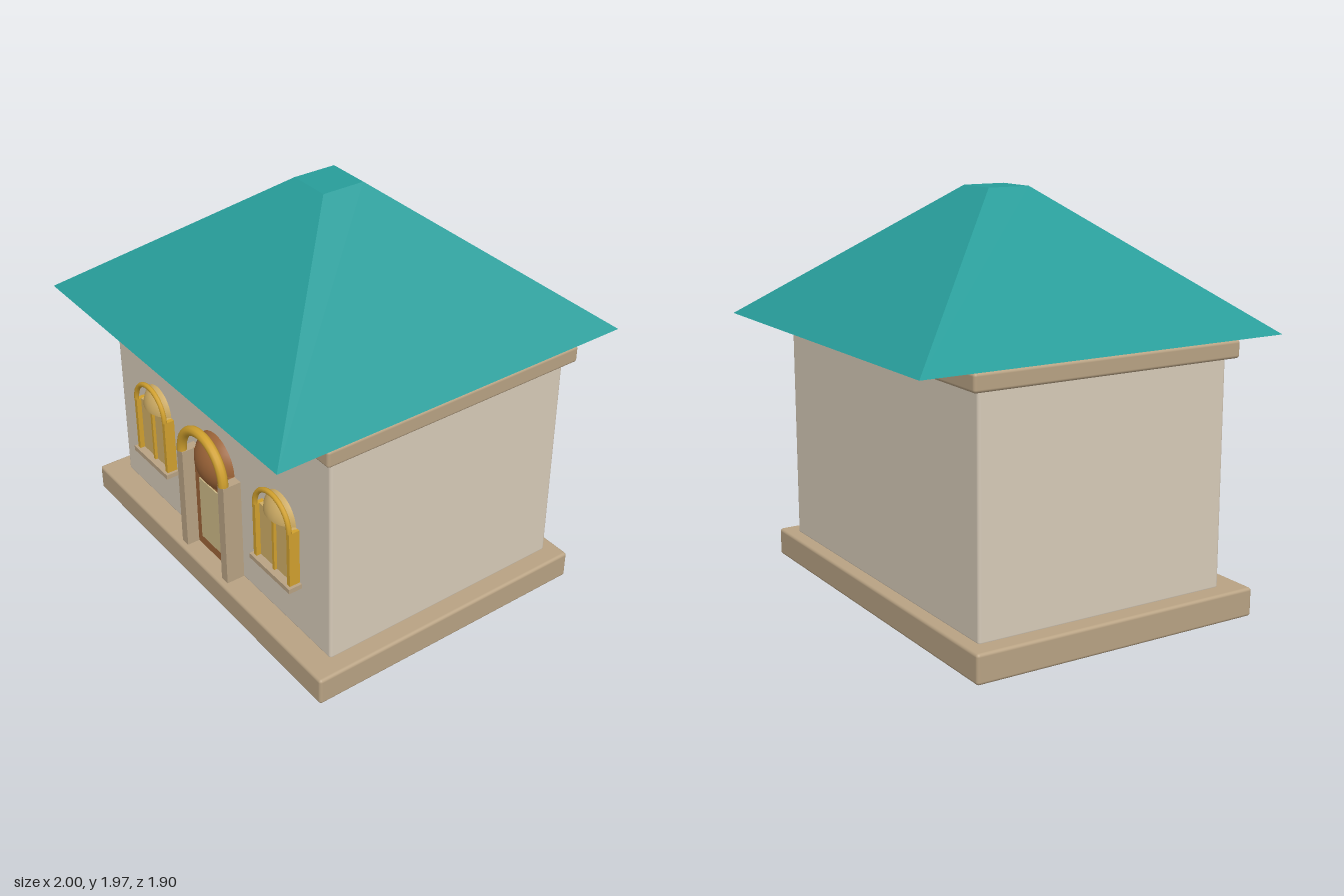
import * as THREE from 'three';
import { RoundedBoxGeometry } from 'three/addons/geometries/RoundedBoxGeometry.js';

const mat = (name, color, extra = {}) => {
  const m = new THREE.MeshStandardMaterial({ color, ...extra });
  m.name = name;
  return m;
};

export function createModel() {
  const plaster = mat('plaster', 0xd6cab8);
  const stone = mat('stone', 0xb8a283);
  const teal = mat('teal roof', 0x279c99);
  const gold = mat('gold', 0xd0a02e);
  const wood = mat('wood', 0x9c6438);
  const glass = mat('amber glass', 0xd0ae66, { side: THREE.DoubleSide });
  const cream = mat('cream panel', 0xcdb987);

  const add = (parent, name, geo, material, x = 0, y = 0, z = 0) => {
    const mesh = new THREE.Mesh(geo, material);
    mesh.name = name;
    mesh.position.set(x, y, z);
    parent.add(mesh);
    return mesh;
  };
  // Box given by its limits on each axis
  const box = (parent, name, material, [x0, x1], [y0, y1], [z0, z1], round = 0) => {
    const size = [x1 - x0, y1 - y0, z1 - z0];
    const geo = round ? new RoundedBoxGeometry(...size, 3, round) : new THREE.BoxGeometry(...size);
    return add(parent, name, geo, material, (x0 + x1) / 2, (y0 + y1) / 2, (z0 + z1) / 2);
  };

  const house = new THREE.Group();
  house.name = 'house';

  // Main masses
  box(house, 'plinth', stone, [-1, 1], [0, 0.14], [-0.72, 0.78], 0.015);
  box(house, 'walls', plaster, [-0.905, 0.905], [0.13, 1.25], [-0.655, 0.655], 0.015);
  box(house, 'cornice', stone, [-0.95, 0.95], [1.23, 1.315], [-0.7, 0.7], 0.015);

  // Truncated pyramid roof: a box with its top corners pulled in
  const roofGeo = new THREE.BoxGeometry(1.9, 0.655, 1.9).toNonIndexed();
  const p = roofGeo.attributes.position;
  for (let i = 0; i < p.count; i++) {
    if (p.getY(i) > 0) p.setXYZ(i, Math.sign(p.getX(i)) * 0.11, p.getY(i), Math.sign(p.getZ(i)) * 0.11);
  }
  roofGeo.computeVertexNormals();
  add(house, 'roof', roofGeo, teal, 0, 1.6425, 0);

  // Door with bulging round head, posts and arch
  const door = new THREE.Group();
  door.name = 'door';
  house.add(door);
  box(door, 'doorLeaf', wood, [-0.157, 0.157], [0.14, 0.7], [0.64, 0.685]);
  box(door, 'doorPanel', cream, [-0.11, 0.11], [0.2, 0.555], [0.684, 0.692]);
  add(door, 'doorHead', new THREE.SphereGeometry(0.175, 32, 20), wood, 0, 0.7, 0.575);
  for (const s of [-1, 1]) {
    box(door, 'doorPost', stone, [s * 0.18 - 0.025, s * 0.18 + 0.025], [0.14, 0.7], [0.65, 0.75]);
  }
  add(door, 'doorArch', new THREE.TorusGeometry(0.182, 0.025, 10, 24, Math.PI), gold, 0, 0.7, 0.735);

  // Arched windows either side of the door
  for (const side of [-1, 1]) {
    const win = new THREE.Group();
    win.name = side > 0 ? 'leftWindow' : 'rightWindow';
    win.position.x = side * 0.53;
    house.add(win);
    box(win, 'windowPane', glass, [-0.13, 0.13], [0.42, 0.72], [0.645, 0.685]);
    add(win, 'windowHead', new THREE.SphereGeometry(0.145, 24, 12, 0, Math.PI * 2, 0, Math.PI / 2),
      glass, 0, 0.72, 0.575);
    for (const s of [-1, 1]) {
      box(win, 'windowJamb', gold, [s * 0.134 - 0.011, s * 0.134 + 0.011], [0.42, 0.72], [0.65, 0.71]);
    }
    box(win, 'windowMullion', gold, [-0.008, 0.008], [0.42, 0.735], [0.65, 0.7]);
    add(win, 'windowArch', new THREE.TorusGeometry(0.135, 0.013, 8, 14, Math.PI), gold, 0, 0.72, 0.703);
    box(win, 'windowSill', stone, [-0.16, 0.16], [0.4, 0.425], [0.65, 0.725]);
  }
  return house;
}
